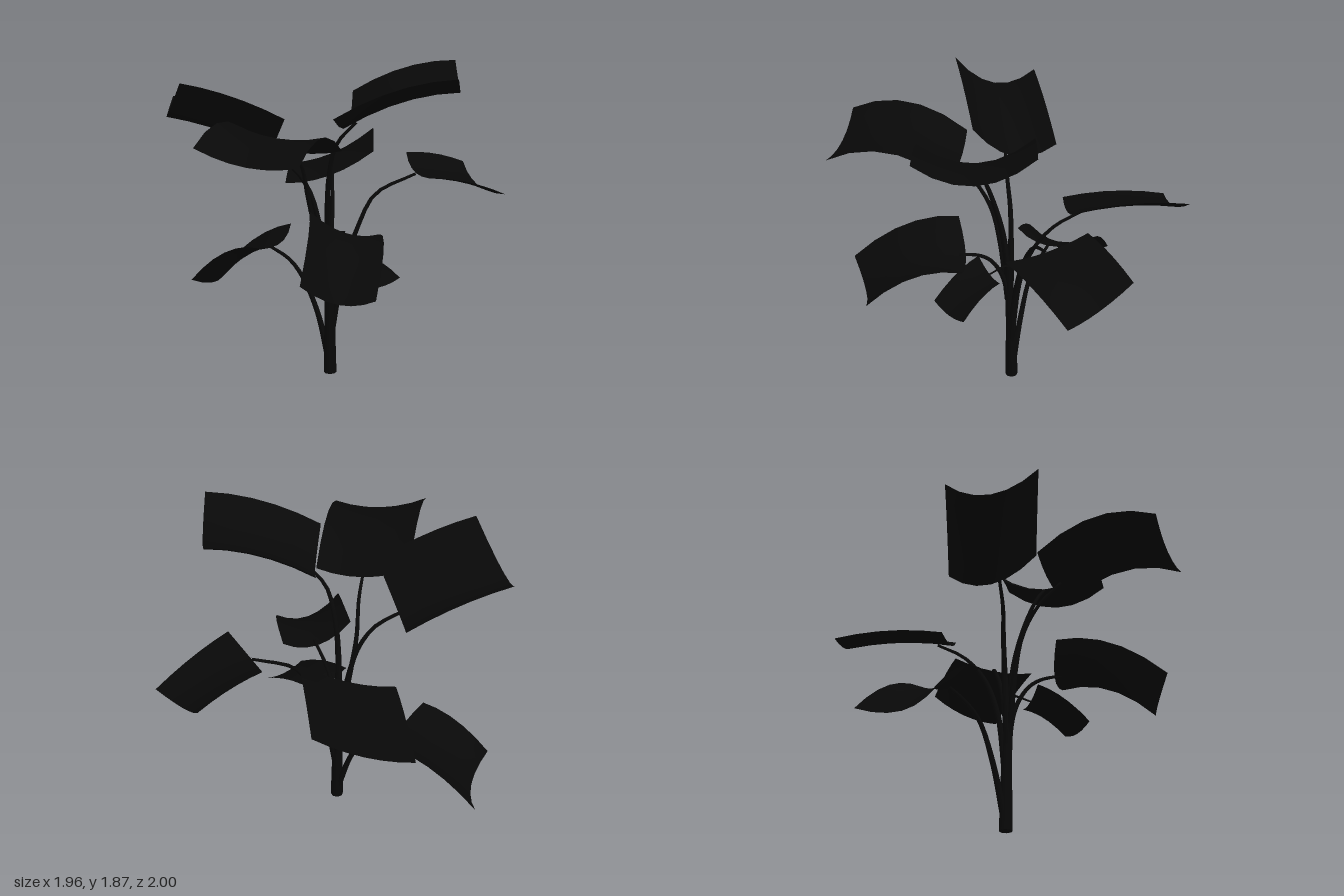
import * as THREE from 'three';

const V = (p) => new THREE.Vector3(...p);
const material = new THREE.MeshStandardMaterial({ color: 0x080808 });
const leafMaterial = new THREE.MeshStandardMaterial({ color: 0x080808, side: THREE.DoubleSide });

// Tapered tube through a few points
function stem(name, r0, r1, points) {
  const curve = new THREE.CatmullRomCurve3(points.map(V));
  const rows = 16, sides = 8;
  const g = new THREE.TubeGeometry(curve, rows, 1, sides);
  const pos = g.attributes.position, p = new THREE.Vector3();
  for (let i = 0; i < pos.count; i++) {
    const t = Math.floor(i / (sides + 1)) / rows;
    const c = curve.getPointAt(t);
    p.fromBufferAttribute(pos, i).sub(c).multiplyScalar(r0 + (r1 - r0) * t).add(c);
    pos.setXYZ(i, p.x, p.y, p.z);
  }
  g.computeVertexNormals();
  const mesh = new THREE.Mesh(g, material);
  mesh.name = name;
  return mesh;
}

// Four-cornered blade: n1, n2 at the stem end, f1, f2 at the tip end.
// arch bends it along its length, fold bends it across its width.
function leaf(name, [n1, n2, f1, f2], arch, fold) {
  const g = new THREE.PlaneGeometry(1, 1, 6, 5);
  const [a, b, c, d, bend, crease] = [n1, n2, f1, f2, arch, fold].map(V);
  const pos = g.attributes.position;
  for (let i = 0; i < pos.count; i++) {
    const u = pos.getX(i) + 0.5, v = pos.getY(i) + 0.5;
    const p = a.clone().lerp(b, u).lerp(c.clone().lerp(d, u), v)
      .addScaledVector(bend, 4 * v * (1 - v))
      .addScaledVector(crease, 4 * u * (1 - u));
    pos.setXYZ(i, p.x, p.y, p.z);
  }
  g.computeVertexNormals();
  const mesh = new THREE.Mesh(g, leafMaterial);
  mesh.name = name;
  return mesh;
}

export function createModel() {
  const plant = new THREE.Group();
  plant.name = 'pottedPlant';

  // Trunk with a closed foot
  plant.add(stem('trunk', 0.038, 0.022, [[-0.05, 0, -0.03], [-0.052, 0.4, -0.025], [-0.05, 0.8, -0.01]]));
  const foot = new THREE.Mesh(new THREE.CylinderGeometry(0.037, 0.038, 0.02, 8), material);
  foot.name = 'trunkFoot';
  foot.position.set(-0.05, 0.01, -0.03);
  plant.add(foot);

  // Leaf stalks
  plant.add(
    stem('topStalk', 0.024, 0.008, [[-0.05, 0.6, -0.02], [-0.06, 1.0, 0.02], [-0.045, 1.25, 0.08], [0, 1.43, 0.14], [0.11, 1.56, 0.18]]),
    stem('leftUpperStalk', 0.022, 0.009, [[-0.06, 0.5, -0.02], [-0.11, 0.9, -0.03], [-0.17, 1.12, -0.03], [-0.26, 1.25, -0.02], [-0.42, 1.35, -0.02]]),
    stem('frontUpperStalk', 0.02, 0.008, [[-0.06, 0.55, -0.01], [-0.13, 0.9, 0.03], [-0.17, 1.12, 0.08], [-0.19, 1.3, 0.18], [-0.23, 1.41, 0.31]]),
    stem('backStalk', 0.02, 0.008, [[-0.05, 0.3, -0.03], [-0.05, 0.7, -0.08], [-0.045, 0.92, -0.16], [-0.05, 1.06, -0.28], [-0.06, 1.14, -0.43]]),
    stem('rightStalk', 0.02, 0.008, [[-0.05, 0.2, -0.03], [0.02, 0.6, -0.04], [0.12, 0.92, -0.08], [0.21, 1.08, -0.13], [0.44, 1.19, -0.18]]),
    stem('leftLowerStalk', 0.02, 0.009, [[-0.06, 0.08, -0.04], [-0.13, 0.36, -0.09], [-0.23, 0.57, -0.15], [-0.31, 0.65, -0.21], [-0.43, 0.7, -0.29]]),
    stem('frontLowerStalk', 0.018, 0.008, [[-0.05, 0.5, -0.02], [-0.04, 0.72, 0.02], [-0.01, 0.86, 0.09], [0.02, 0.92, 0.16], [0.06, 0.96, 0.28]]),
    stem('smallStalk', 0.008, 0.005, [[-0.05, 0.74, -0.03], [-0.04, 0.8, 0], [0.02, 0.785, 0.11]]),
  );

  // Leaves
  plant.add(
    leaf('topLeaf', [[0.075, 1.68, -0.14], [0, 1.63, 0.485], [0.65, 1.865, -0.105], [0.645, 1.85, 0.52]],
      [0, 0.045, 0], [0.02, -0.12, 0]),
    leaf('leftUpperLeaf', [[-0.385, 1.41, -0.315], [-0.285, 1.57, 0.175], [-0.98, 1.625, -0.235], [-0.845, 1.775, 0.25]],
      [0, 0.025, 0], [-0.06, -0.155, 0]),
    leaf('frontUpperLeaf', [[-0.475, 1.475, 0.2], [0.04, 1.43, 0.33], [-0.67, 1.55, 0.865], [-0.135, 1.485, 1.0]],
      [0, 0.11, 0], [0, -0.05, -0.01]),
    leaf('backLeaf', [[0.19, 1.28, -0.37], [-0.34, 1.08, -0.355], [0.17, 1.3, -1.0], [-0.36, 1.07, -0.965]],
      [0, 0.03, 0], [0, -0.05, 0.01]),
    leaf('rightLeaf', [[0.385, 1.27, -0.405], [0.56, 1.22, 0.05], [0.735, 1.175, -0.6], [0.97, 1.06, -0.235]],
      [0, 0.02, 0], [-0.03, -0.05, 0]),
    leaf('leftLowerLeaf', [[-0.325, 0.78, -0.525], [-0.545, 0.75, -0.105], [-0.76, 0.455, -0.715], [-0.915, 0.485, -0.265]],
      [0, 0.05, 0], [0.05, -0.055, 0.03]),
    leaf('frontLowerLeaf', [[-0.155, 1.085, 0.27], [0.245, 0.95, 0.27], [-0.145, 0.845, 0.885], [0.24, 0.75, 0.815]],
      [0.03, 0.1, 0], [0, -0.07, -0.03]),
    leaf('smallLeaf', [[-0.12, 0.83, 0.16], [0.1, 0.775, 0.05], [0.13, 0.695, 0.43], [0.36, 0.7, 0.27]],
      [0, 0.03, 0], [0, -0.03, 0]),
  );
  return plant;
}
